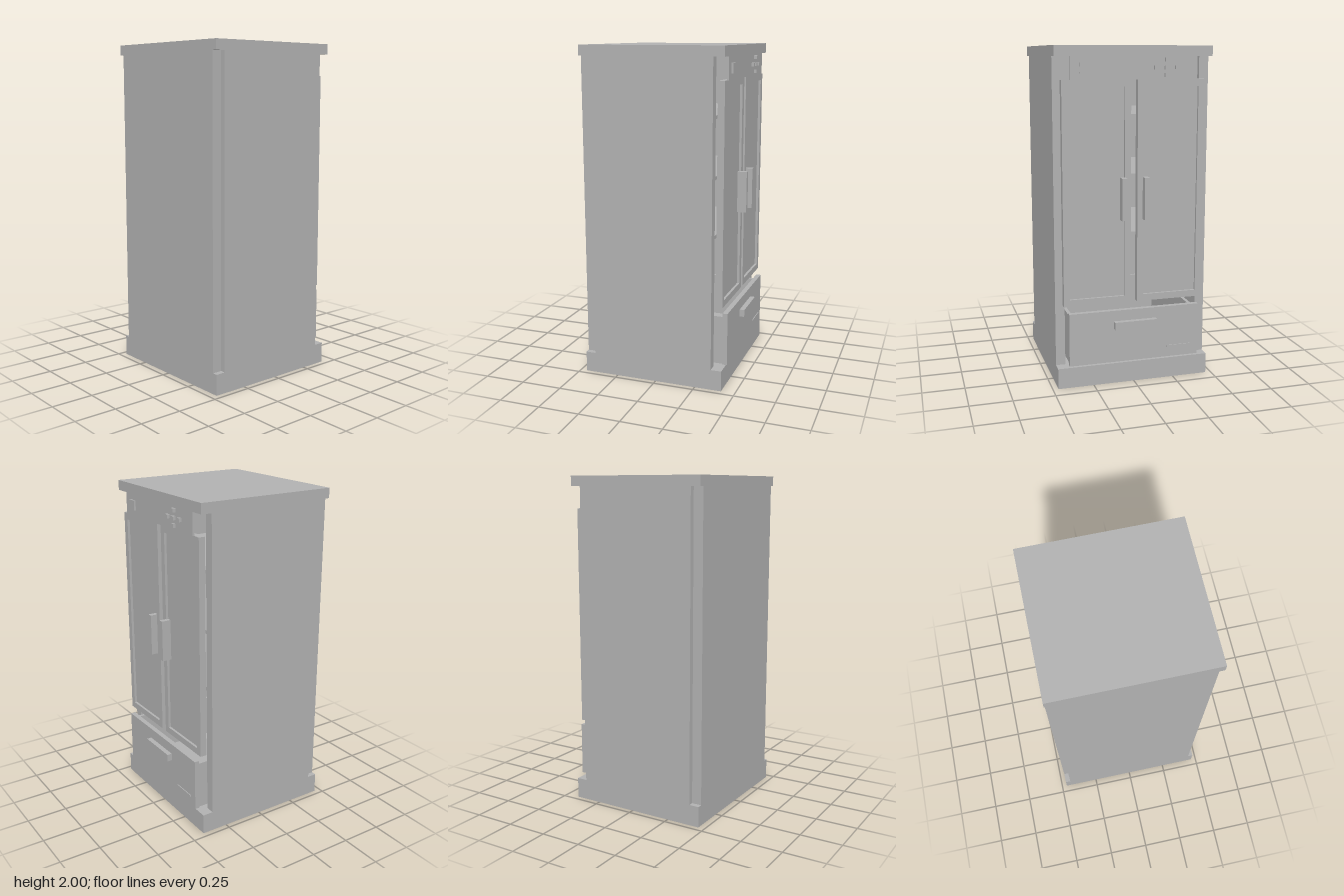
import * as THREE from 'three';

export function createModel() {
  const model = new THREE.Group();
  model.name = 'refrigerator';
  const steel = new THREE.MeshStandardMaterial({ color: 0xb2b2b2 });
  steel.name = 'grey steel';

  // Box given by its extents on each axis
  function box(name, [x0, x1], [y0, y1], [z0, z1], parent = model) {
    const mesh = new THREE.Mesh(new THREE.BoxGeometry(x1 - x0, y1 - y0, z1 - z0), steel);
    mesh.position.set((x0 + x1) / 2, (y0 + y1) / 2, (z0 + z1) / 2);
    mesh.name = name;
    parent.add(mesh);
    return mesh;
  }
  function group(name) {
    const g = new THREE.Group();
    g.name = name;
    model.add(g);
    return g;
  }
  // Extent on one side, mirrored by s = 1 or -1
  const side = (s, a, b) => (s > 0 ? [a, b] : [-b, -a]);

  // Cabinet shell, open on the door side (-z)
  const cabinet = group('cabinet');
  box('base', [-0.467, 0.467], [0, 0.125], [-0.415, 0.46], cabinet);
  box('topSlab', [-0.467, 0.467], [1.94, 2], [-0.415, 0.46], cabinet);
  box('plainPanel', [-0.435, 0.435], [0.125, 1.94], [0.4, 0.46], cabinet);
  for (const s of [1, -1]) {
    box('sidePanel', side(s, 0.41, 0.467), [0.125, 1.94], [-0.35, 0.4], cabinet);
  }
  for (const y of [0.9, 1.25, 1.6]) {
    box('shelf', [-0.41, 0.41], [y - 0.01, y + 0.01], [-0.33, 0.4], cabinet);
  }

  // Doors: a raised frame around a recessed panel, with a bar handle
  for (const s of [1, -1]) {
    const door = group(s > 0 ? 'leftDoor' : 'rightDoor');
    const frame = new THREE.Shape();
    const [x0, x1] = side(s, 0.02, 0.425);
    frame.moveTo(x0, 0.5).lineTo(x1, 0.5).lineTo(x1, 1.81).lineTo(x0, 1.81).closePath();
    const hole = new THREE.Path();
    const [h0, h1] = [x0 + 0.037, x1 - 0.037];
    hole.moveTo(h0, 0.54).lineTo(h0, 1.77).lineTo(h1, 1.77).lineTo(h1, 0.54).closePath();
    frame.holes.push(hole);
    const rim = new THREE.Mesh(
      new THREE.ExtrudeGeometry(frame, { depth: 0.04, bevelEnabled: false }), steel);
    rim.position.z = -0.405;
    rim.name = 'doorFrame';
    door.add(rim);
    box('doorPanel', [h0, h1], [0.54, 1.77], [-0.39, -0.365], door);
    box('doorHandle', side(s, 0.052, 0.082), [1.0, 1.25], [-0.447, -0.39], door);
  }

  // Control strip with a display and a cross of buttons
  const controls = group('controls');
  box('controlPanel', [-0.375, 0.375], [1.81, 1.94], [-0.412, -0.4], controls);
  box('display', [0.26, 0.323], [1.845, 1.905], [-0.423, -0.412], controls);
  for (const [dx, dy] of [[0, 0], [1, 0], [-1, 0], [0, 1], [0, -1]]) {
    const x = -0.188 + dx * 0.063, y = 1.877 + dy * 0.043;
    box('button', [x - 0.012, x + 0.012], [y - 0.011, y + 0.011], [-0.429, -0.412], controls);
  }

  // Drawer: an open tray behind a front plate
  const drawer = group('drawer');
  box('drawerFront', [-0.4, 0.4], [0.14, 0.46], [-0.43, -0.4], drawer);
  box('drawerFloor', [-0.39, 0.39], [0.14, 0.16], [-0.4, 0.38], drawer);
  box('drawerEnd', [-0.39, 0.39], [0.16, 0.435], [0.36, 0.38], drawer);
  for (const s of [1, -1]) {
    box('drawerSide', side(s, 0.37, 0.39), [0.16, 0.435], [-0.4, 0.36], drawer);
  }
  box('drawerHandle', [-0.13, 0.13], [0.35, 0.395], [-0.46, -0.43], drawer);
  box('drawerTrim', [-0.35, -0.2], [0.2, 0.212], [-0.435, -0.43], drawer);

  return model;
}
